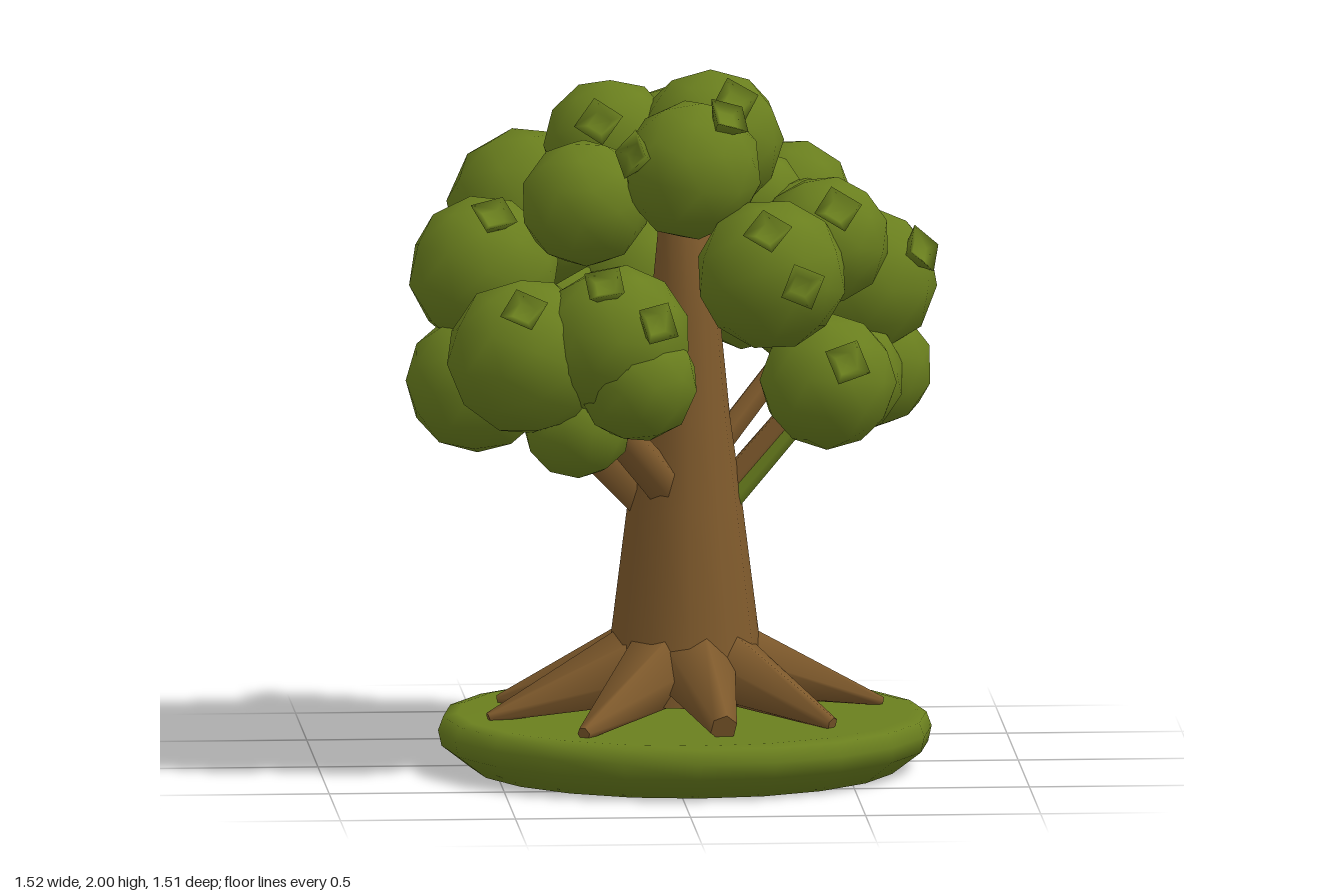
import * as THREE from 'three';
import { mergeVertices } from 'three/addons/utils/BufferGeometryUtils.js';

const UP = new THREE.Vector3(0, 1, 0);
const vec = (a) => new THREE.Vector3(...a);
const outline = (points) => points.map(([x, y]) => new THREE.Vector2(x, y));

export function createModel() {
  const tree = new THREE.Group();
  tree.name = 'tree';
  const bark = new THREE.MeshStandardMaterial({ color: 0x7f5a2c });
  bark.name = 'bark brown';
  const leaf = new THREE.MeshStandardMaterial({ color: 0x6a7f1e });
  leaf.name = 'leaf green';

  const add = (name, geometry, material, parent = tree) => {
    const mesh = new THREE.Mesh(geometry, material);
    mesh.name = name;
    parent.add(mesh);
    return mesh;
  };
  const group = (name) => {
    const g = new THREE.Group();
    g.name = name;
    tree.add(g);
    return g;
  };
  // Tapered six-sided limb between two points
  const limb = (name, from, to, r0, r1, parent, material = bark) => {
    const a = vec(from), b = vec(to), d = b.clone().sub(a);
    const mesh = add(name, new THREE.CylinderGeometry(r1, r0, d.length(), 6), material, parent);
    mesh.position.copy(a).add(b).multiplyScalar(0.5);
    mesh.quaternion.setFromUnitVectors(UP, d.normalize());
  };

  // Round grassy base
  const base = outline([[0, 0], [0.61, 0], [0.695, 0.065], [0.705, 0.11], [0.69, 0.15], [0.65, 0.158], [0, 0.158]]);
  add('grassBase', new THREE.LatheGeometry(base, 20), leaf).position.set(0.045, 0, 0.045);

  // Trunk
  const trunk = outline([[0.235, 0.2], [0.213, 0.37], [0.165, 0.75], [0.13, 1.0], [0.1, 1.3], [0.07, 1.62], [0, 1.65]]);
  add('trunk', new THREE.LatheGeometry(trunk, 12), bark).position.set(0.045, 0, 0.045);

  // Roots spreading from the trunk: x and z offsets of the tip, tip radius
  const roots = group('roots');
  const tips = [[0.08, 0.49, 0.04], [0.4, 0.34, 0.02], [0.57, -0.1, 0.014], [0.29, -0.57, 0.014],
    [-0.12, -0.56, 0.014], [-0.52, -0.2, 0.014], [-0.57, 0.13, 0.014], [-0.32, 0.48, 0.02]];
  for (const [x, z, r] of tips) {
    const k = 0.11 / Math.hypot(x, z);
    limb('root', [0.045 + x * k, 0.31, 0.045 + z * k], [0.045 + x, 0.155 + r * 0.7, 0.045 + z], 0.125, r, roots);
  }

  // Branches
  const branches = group('branches');
  limb('frontBranch', [0.0, 0.8, 0.12], [-0.26, 1.12, 0.33], 0.06, 0.05, branches);
  limb('leftBranch', [0.13, 0.75, 0.02], [0.5, 1.18, 0.02], 0.045, 0.04, branches);
  limb('mossStrip', [0.18, 0.76, 0.05], [0.46, 1.09, 0.05], 0.026, 0.022, branches, leaf);
  limb('upperLeftBranch', [0.1, 0.86, 0], [0.38, 1.2, -0.12], 0.04, 0.035, branches);
  limb('backBranch', [0.05, 0.75, -0.03], [-0.01, 1.16, -0.5], 0.045, 0.04, branches);
  limb('rightBranch', [0, 0.71, 0.04], [-0.31, 1.02, 0.03], 0.07, 0.065, branches);
  limb('upperBranch', [0.05, 1.22, 0.02], [0.08, 1.62, -0.24], 0.05, 0.04, branches);

  // Rounded foliage clumps: x, y, z, radius
  const clumps = [
    // crown
    [0.12, 1.8, 0.02, 0.2], [0.05, 1.755, 0.28, 0.195], [-0.16, 1.78, -0.05, 0.185],
    [0.04, 1.73, -0.25, 0.185], [-0.25, 1.65, 0.2, 0.18],
    // upper ring
    [-0.38, 1.57, -0.22, 0.23], [0.37, 1.57, -0.3, 0.175], [0.43, 1.54, 0.23, 0.18],
    [0.27, 1.47, 0.4, 0.21], [0.4, 1.52, -0.02, 0.16], [0.25, 1.6, -0.1, 0.15],
    [-0.53, 1.43, 0.05, 0.21], [0.55, 1.39, 0, 0.21],
    // lower ring
    [0.58, 1.13, -0.06, 0.175], [0.42, 1.25, -0.34, 0.165], [0.25, 1.3, -0.45, 0.17],
    [-0.02, 1.29, -0.53, 0.2], [-0.36, 1.25, -0.45, 0.195], [-0.55, 1.12, 0.09, 0.2],
    [-0.43, 1.24, 0.4, 0.22], [-0.18, 1.29, 0.45, 0.21], [-0.12, 1.18, 0.49, 0.17],
    [-0.28, 1.03, 0.33, 0.15], [0.44, 1.14, 0.27, 0.19], [0.48, 1.13, 0.1, 0.18],
  ];
  const ball = new THREE.IcosahedronGeometry(1, 1);
  ball.deleteAttribute('normal');
  ball.deleteAttribute('uv');
  const clumpGeometry = mergeVertices(ball);
  clumpGeometry.computeVertexNormals();
  const foliage = group('foliage');
  clumps.forEach(([x, y, z, r], i) => {
    const mesh = add('leafClump', clumpGeometry, leaf, foliage);
    mesh.position.set(x, y, z);
    mesh.scale.set(r * 1.05, r * 1.02, r * 1.03);
    mesh.rotation.set(i * 0.7, i * 1.3, 0);
  });

  // Small square cupped leaf tufts lying on the clumps
  const tuftSpots = [
    [-0.21, 1.88, 0.15], [-0.13, 1.82, 0.4], [-0.51, 1.62, 0.2], [-0.45, 1.41, 0.6],
    [-0.22, 1.48, 0.6], [-0.07, 1.37, 0.65], [0.18, 1.94, 0.19], [0.14, 1.91, 0.38],
    [0.25, 1.6, 0.56], [0.34, 1.47, 0.62], [0.48, 1.22, 0.46], [0.46, 1.66, 0.41],
    [0.69, 1.48, 0.11], [-0.11, 1.34, -0.7],
  ];
  const tuftGeometry = new THREE.LatheGeometry(outline([[0.035, -0.02], [0.072, 0.03], [0.035, 0.012], [0, 0.01]]), 4);
  const tufts = group('leafTufts');
  tuftSpots.forEach((spot, i) => {
    const p = vec(spot);
    // Rest on the clump whose surface is closest
    const gap = (c) => Math.abs(p.distanceTo(vec(c.slice(0, 3))) - c[3]);
    const clump = clumps.reduce((a, b) => (gap(b) < gap(a) ? b : a));
    const centre = vec(clump.slice(0, 3));
    const out = p.clone().sub(centre).normalize();
    const mesh = add('leafTuft', tuftGeometry, leaf, tufts);
    mesh.position.copy(centre).addScaledVector(out, clump[3] * 1.03);
    mesh.quaternion.setFromUnitVectors(UP, out);
    mesh.rotateY(i * 0.6);
  });

  return tree;
}
